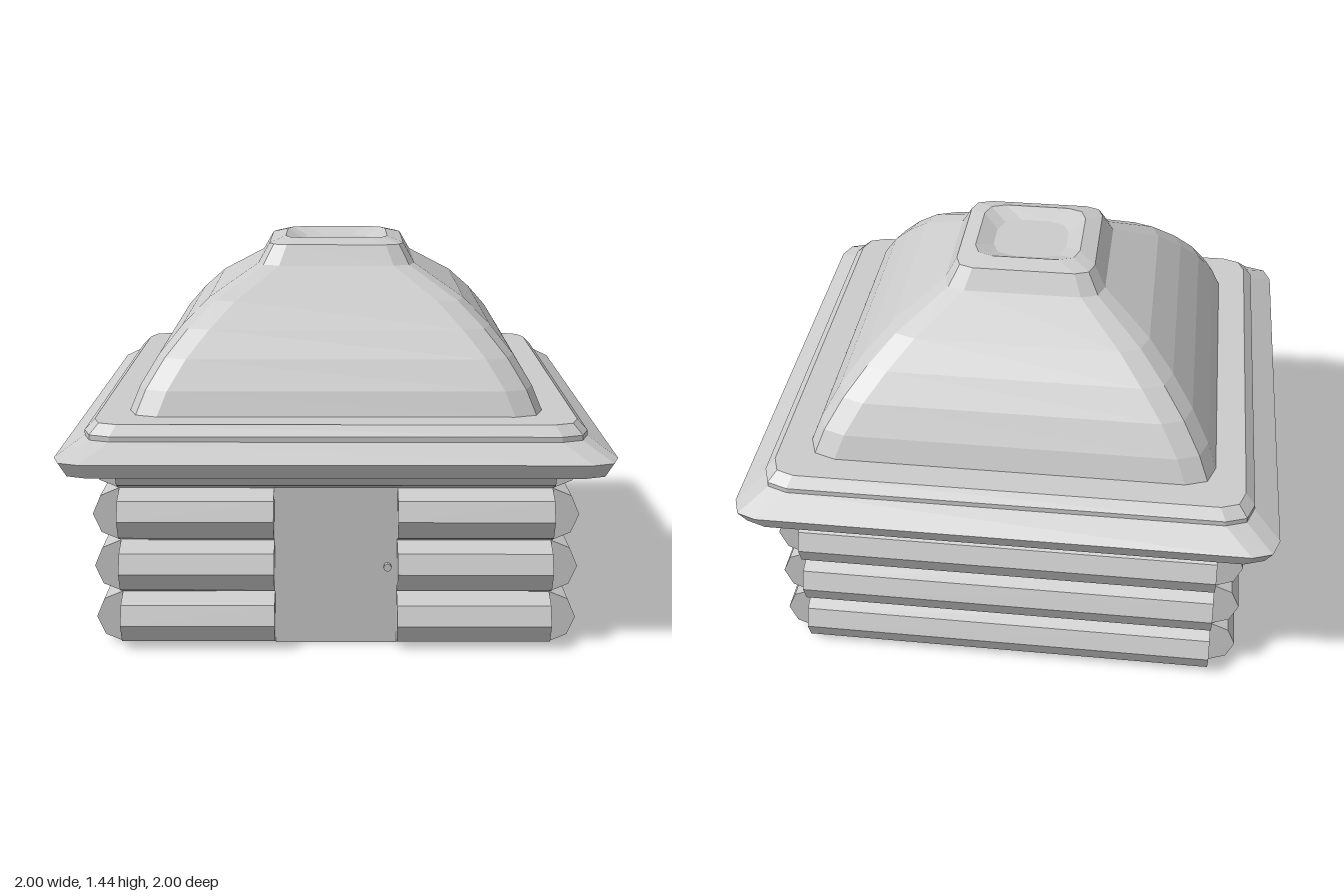
import * as THREE from 'three';

const grey = new THREE.MeshStandardMaterial({ color: 0xcccccc, flatShading: true });

function addMesh(parent, name, geometry) {
  const mesh = new THREE.Mesh(geometry, grey);
  mesh.name = name;
  parent.add(mesh);
  return mesh;
}

// Square ring of half-width r with rounded corners (cut c), 12 points
function squareRing([r, y, c]) {
  const d = c * 0.27;
  const points = [];
  for (let k = 0; k < 4; k++) {
    for (const [a, b] of [[r, r - c], [r - d, r - d], [r - c, r]]) {
      const turn = [[a, b], [-b, a], [-a, -b], [b, -a]][k];
      points.push([turn[0], y, turn[1]]);
    }
  }
  return points;
}

// Skin a list of [halfWidth, height, cornerCut] rings; a half-width of 0 closes the end
function loftRings(profile) {
  const rings = profile.map(squareRing);
  const pos = [];
  for (let j = 0; j < rings.length - 1; j++) {
    for (let i = 0; i < 12; i++) {
      const n = (i + 1) % 12;
      const [a, b, c, d] = [rings[j][i], rings[j + 1][i], rings[j + 1][n], rings[j][n]];
      if (profile[j + 1][0] > 0) pos.push(...a, ...b, ...c);
      if (profile[j][0] > 0) pos.push(...a, ...c, ...d);
    }
  }
  const geometry = new THREE.BufferGeometry();
  geometry.setAttribute('position', new THREE.Float32BufferAttribute(pos, 3));
  geometry.computeVertexNormals();
  return geometry;
}

// Half-octagon log lying along z, bulging towards +x
function logGeometry(length) {
  const outline = [[0.79, 0], [0.86, 0.03], [0.89, 0.1], [0.86, 0.17], [0.79, 0.2]];
  const shape = new THREE.Shape(outline.map(([x, y]) => new THREE.Vector2(x, y)));
  return new THREE.ExtrudeGeometry(shape, { depth: length, bevelEnabled: false })
    .translate(0, 0, -length / 2);
}

export function createModel() {
  const model = new THREE.Group();
  model.name = 'logHut';
  const half = 0.79, doorHalf = 0.225, rowHeight = 0.2;

  // Log walls; the front leaves a doorway in its lower three rows
  const fullLog = logGeometry(half * 2);
  const shortLog = logGeometry(half - doorHalf);
  ['leftWall', 'frontWall', 'rightWall', 'backWall'].forEach((name, k) => {
    const wall = new THREE.Group();
    wall.name = name;
    wall.rotation.y = -k * Math.PI / 2;
    for (let row = 0; row < 4; row++) {
      if (name === 'frontWall' && row < 3) {
        for (const side of [-1, 1]) {
          addMesh(wall, 'shortLog', shortLog)
            .position.set(0, row * rowHeight, side * (half + doorHalf) / 2);
        }
      } else {
        addMesh(wall, 'log', fullLog).position.y = row * rowHeight;
      }
    }
    model.add(wall);
  });

  // Door, its back flush with the inside of the logs, and knob
  addMesh(model, 'door', new THREE.BoxGeometry(doorHalf * 2, 0.605, 0.006))
    .position.set(0, 0.3025, half + 0.003);
  addMesh(model, 'doorKnob', new THREE.CylinderGeometry(0.015, 0.015, 0.02, 8).rotateX(Math.PI / 2))
    .position.set(0.19, 0.3, half + 0.014);

  // Ceiling, sloping underside of the eaves, then the stepped top
  addMesh(model, 'eaves', loftRings([
    [0, 0.8, 0], [0.85, 0.8, 0.1], [0.975, 0.69, 0.1], [1, 0.745, 0.1], [0.905, 0.803, 0.105],
    [0.905, 0.822, 0.105], [0.87, 0.858, 0.09], [0.7, 0.858, 0.09],
  ]));

  // Curved roof, smoke-hole collar and its shallow dished top
  addMesh(model, 'roof', loftRings([
    [0.76, 0.858, 0.11], [0.725, 0.945, 0.11], [0.66, 1.05, 0.11], [0.58, 1.145, 0.11],
    [0.485, 1.235, 0.105], [0.305, 1.345, 0.085], [0.262, 1.42, 0.07], [0.2, 1.44, 0.075],
    [0.14, 1.41, 0.085], [0, 1.41, 0],
  ]));

  return model;
}
